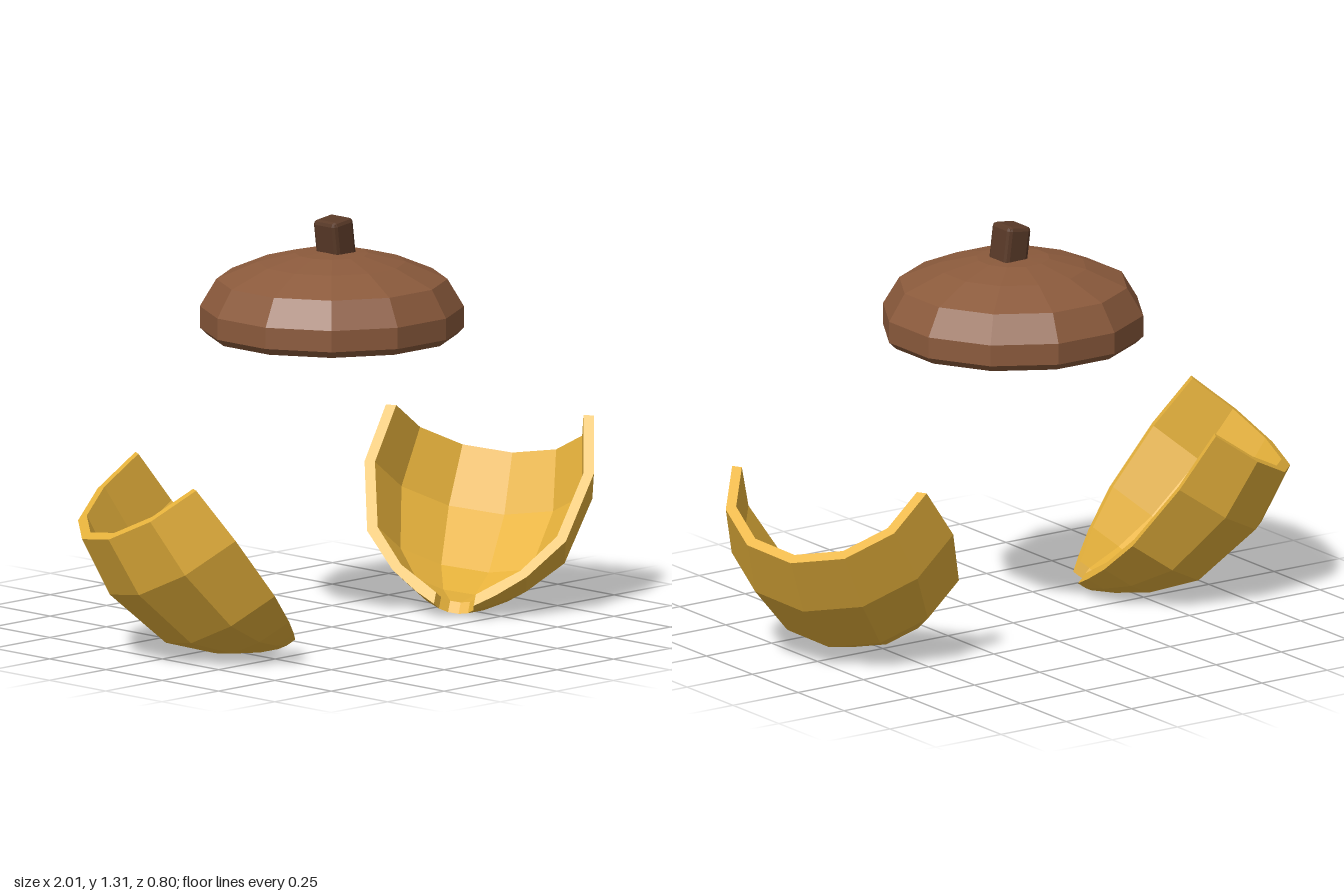
import * as THREE from 'three';
import { RoundedBoxGeometry } from 'three/addons/geometries/RoundedBoxGeometry.js';

const mat = (color) => new THREE.MeshStandardMaterial({ color, flatShading: true });
const toPoints = (list) => list.map(([r, y]) => new THREE.Vector2(r, y));

// Half of a hollow nut: wall profile revolved by 180 degrees, with flat cut faces
function createHalfShell(name, side, material) {
  const outer = [[0.065, -0.68], [0.13, -0.64], [0.22, -0.57], [0.325, -0.44], [0.375, -0.2], [0.34, 0]];
  const inner = [[0.306, 0], [0.341, -0.2], [0.293, -0.425], [0.195, -0.55], [0.115, -0.605], [0.065, -0.64]];
  const wall = toPoints([...outer, ...inner]);

  const shell = new THREE.Group();
  shell.name = name;
  const body = new THREE.Mesh(
    new THREE.LatheGeometry([...wall, wall[0]], 6, -Math.PI / 2, Math.PI), material);
  body.name = 'shellWall';
  shell.add(body);

  for (const s of [-1, 1]) {
    const outline = new THREE.Shape(wall.map((p) => new THREE.Vector2(p.x * s, p.y)));
    const cut = new THREE.Mesh(new THREE.ShapeGeometry(outline).rotateY(Math.PI), material);
    cut.name = 'cutFace';
    shell.add(cut);
  }

  // Tip points inward and down, the hollow faces up and toward the middle
  const up = new THREE.Vector3(side * 0.521, 0.807, -0.287).normalize();
  const belly = new THREE.Vector3(side * 0.71, -0.595, -0.385);
  belly.addScaledVector(up, -belly.dot(up)).normalize();
  const across = new THREE.Vector3().crossVectors(up, belly);
  shell.quaternion.setFromRotationMatrix(new THREE.Matrix4().makeBasis(across, up, belly));
  shell.position.set(side * 0.717, 0.588, -0.018);
  return shell;
}

export function createModel() {
  const model = new THREE.Group();
  model.name = 'splitAcorn';

  const shellMat = mat(0xe8b33c);
  model.add(createHalfShell('leftHalfShell', 1, shellMat));
  model.add(createHalfShell('rightHalfShell', -1, shellMat));

  // Twelve-sided cap, flats facing the axes; radii are given to the flats
  const k = 1 / Math.cos(Math.PI / 12);
  const profile = [[0, 0.93], [0.378, 0.93], [0.4, 0.952], [0.4, 1.02], [0.35, 1.107],
    [0.225, 1.162], [0.112, 1.19], [0, 1.195]].map(([r, y]) => [r * k, y]);
  const cap = new THREE.Mesh(
    new THREE.LatheGeometry(toPoints(profile), 12, Math.PI / 12), mat(0x8b5a3c));
  cap.name = 'cap';
  model.add(cap);

  // Leaning stem with chamfered edges
  const stem = new THREE.Mesh(new RoundedBoxGeometry(0.088, 0.15, 0.1, 1, 0.014), mat(0x5a3a28));
  stem.name = 'stem';
  stem.position.set(0.014, 1.225, 0);
  stem.rotation.z = 0.13;
  model.add(stem);

  return model;
}
